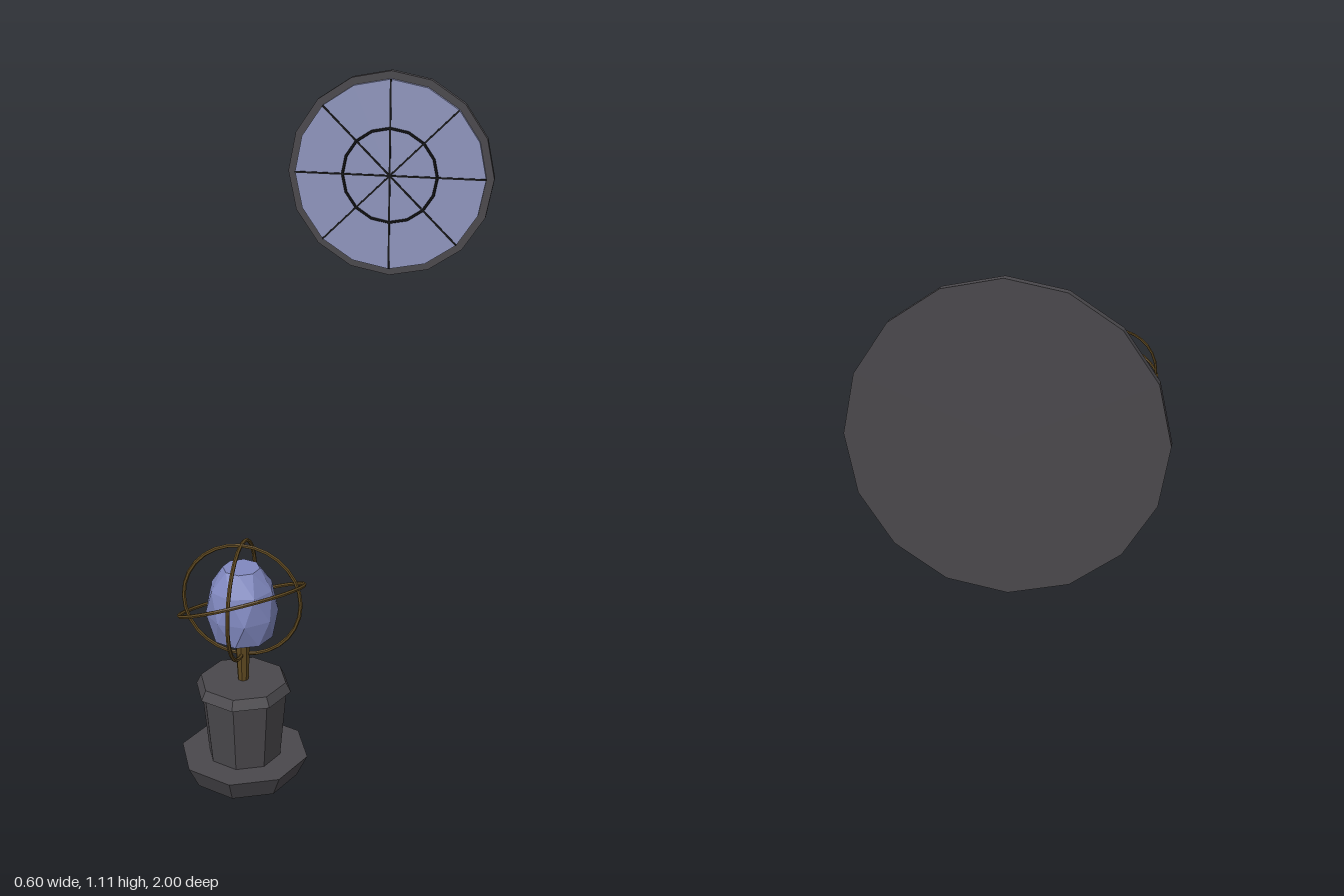
import * as THREE from 'three';

const paint = (color) => new THREE.MeshStandardMaterial({ color, flatShading: true });

export function createModel() {
  const stone = paint(0x4a484c), bronze = paint(0x5e4820), crystal = paint(0x8088bf);
  const glass = paint(0x8f95bd), iron = paint(0x141416);
  const model = new THREE.Group();

  const add = (parent, name, geometry, material, x = 0, y = 0, z = 0) => {
    const mesh = new THREE.Mesh(geometry, material);
    mesh.name = name;
    mesh.position.set(x, y, z);
    parent.add(mesh);
    return mesh;
  };

  // Pedestal lamp near the front
  const lamp = new THREE.Group();
  lamp.name = 'pedestalLamp';
  lamp.position.z = 0.87;
  model.add(lamp);

  // Stacked tapered sections: name, bottom y, top y, bottom radius, top radius
  const sections = [
    ['plinth', 0, 0.045, 0.108, 0.13, stone],
    ['column', 0.045, 0.19, 0.074, 0.088, stone],
    ['columnCap', 0.19, 0.21, 0.097, 0.087, stone],
    ['stem', 0.21, 0.312, 0.011, 0.016, bronze],
  ];
  for (const [name, y0, y1, r0, r1, material] of sections) {
    add(lamp, name, new THREE.CylinderGeometry(r1, r0, y1 - y0, 8), material, 0, (y0 + y1) / 2);
  }

  // Faceted crystal: rings of eight, each turned against the one below
  const profile = [[0, 0.31], [0.061, 0.31], [0.072, 0.36], [0.064, 0.415], [0.037, 0.456], [0, 0.456]];
  const gem = new THREE.LatheGeometry(profile.map(([r, y]) => new THREE.Vector2(r, y)), 8);
  const p = gem.attributes.position;
  for (let i = 0; i < p.count; i++) {
    const turn = (p.getY(i) - 0.31) * 6;
    const x = p.getX(i), z = p.getZ(i);
    p.setX(i, x * Math.cos(turn) + z * Math.sin(turn));
    p.setZ(i, z * Math.cos(turn) - x * Math.sin(turn));
  }
  gem.computeVertexNormals();
  add(lamp, 'crystal', gem, crystal);

  // Armillary rings: two upright, one tilted, each given by its axis
  const rings = [
    ['frontRing', 0.118, [0, 0, 1]],
    ['sideRing', 0.118, [1, 0, 0]],
    ['tiltedRing', 0.127, [-0.33, 1, -0.33]],
  ];
  for (const [name, radius, axis] of rings) {
    const ring = add(lamp, name, new THREE.TorusGeometry(radius, 0.004, 6, 28), bronze, 0, 0.385);
    ring.quaternion.setFromUnitVectors(new THREE.Vector3(0, 0, 1), new THREE.Vector3(...axis).normalize());
  }

  // Round window far behind
  const roundWindow = new THREE.Group();
  roundWindow.name = 'roundWindow';
  roundWindow.position.set(0, 0.81, 0);
  model.add(roundWindow);

  const disc = (r, depth) => new THREE.CylinderGeometry(r, r, depth, 16).rotateX(Math.PI / 2);
  add(roundWindow, 'windowFrame', disc(0.3, 0.02), stone, 0, 0, -0.99);
  add(roundWindow, 'windowPane', disc(0.278, 0.012), glass, 0, 0, -0.974);

  // Glazing bars and inner ring
  for (let i = 0; i < 4; i++) {
    const bar = add(roundWindow, 'glazingBar', new THREE.BoxGeometry(0.556, 0.005, 0.006), iron, 0, 0, -0.968);
    bar.rotation.z = (i * Math.PI) / 4;
  }
  add(roundWindow, 'glazingRing', new THREE.TorusGeometry(0.138, 0.004, 6, 16), iron, 0, 0, -0.968);

  return model;
}
